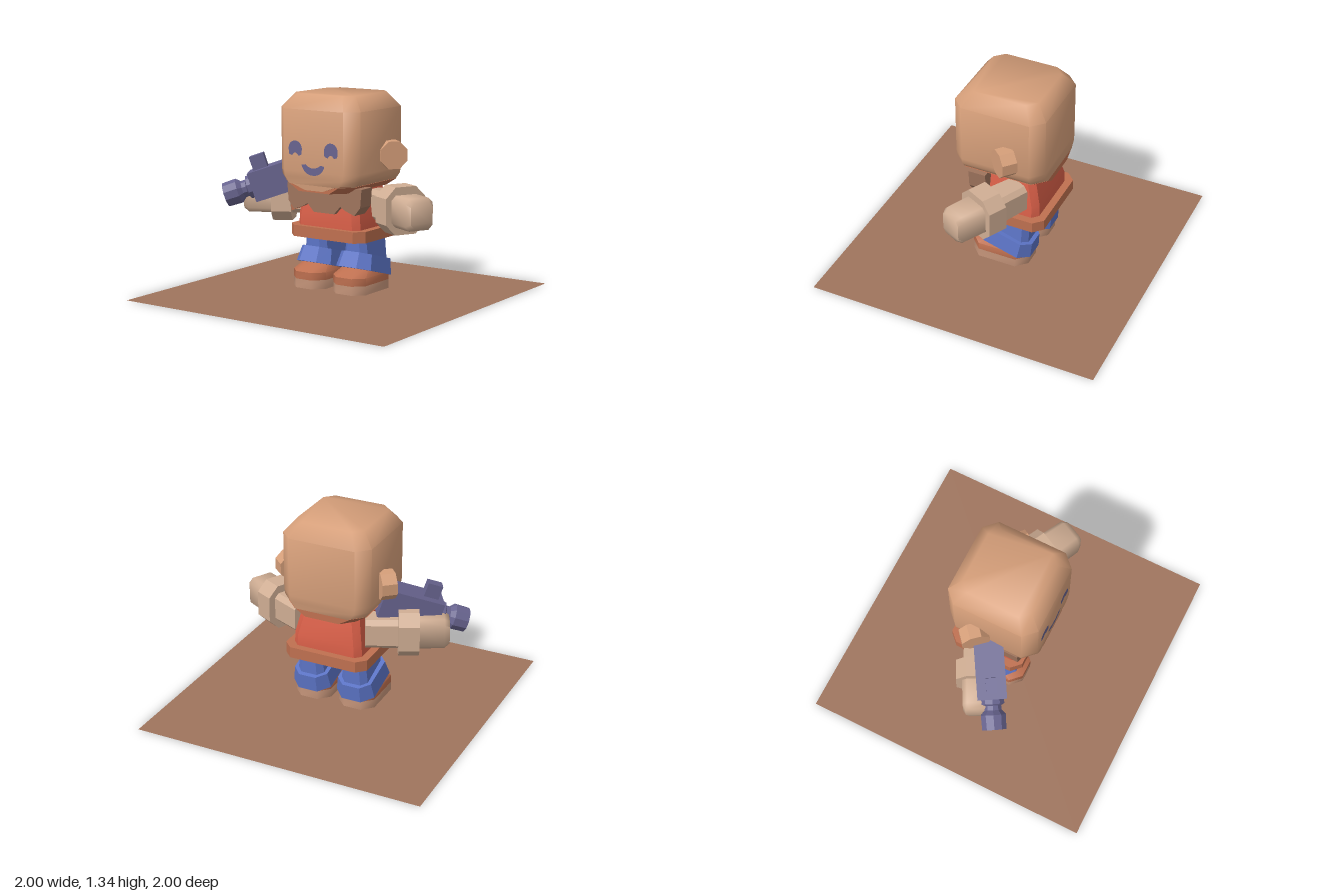
import * as THREE from 'three';
import { toCreasedNormals } from 'three/addons/utils/BufferGeometryUtils.js';

const mat = (name, color) => Object.assign(new THREE.MeshStandardMaterial({ color }), { name });

// Stack of chamfered rectangles: each row is [y, halfX, halfZ, chamfer, zOffset, xOffset]
function loft(rows, crease = 0.5) {
  const pos = [], idx = [];
  for (const [y, a, b, c, oz = 0, ox = 0] of rows) {
    const ring = [[a, b - c], [a - c, b], [c - a, b], [-a, b - c], [-a, c - b], [c - a, -b], [a - c, -b], [a, c - b]];
    for (const [x, z] of ring) pos.push(x + ox, y, z + oz);
  }
  const top = (rows.length - 1) * 8;
  for (let r = 0; r < top; r += 8) {
    for (let i = 0; i < 8; i++) {
      const a = r + i, b = r + (i + 1) % 8;
      idx.push(a, a + 8, b, b, a + 8, b + 8);
    }
  }
  for (let i = 1; i < 7; i++) {
    idx.push(0, i, i + 1);
    idx.push(top, top + i + 1, top + i);
  }
  const g = new THREE.BufferGeometry();
  g.setAttribute('position', new THREE.Float32BufferAttribute(pos, 3));
  g.setIndex(idx);
  return toCreasedNormals(g, crease);
}

export function createModel() {
  const root = new THREE.Group();
  const skin = mat('skin', 0xd69f7a);
  const brown = mat('brown', 0x9f745d);
  const orange = mat('orange leather', 0xbf7050);
  const red = mat('red shirt', 0xd95f48);
  const blue = mat('blue trousers', 0x5c74c6);
  const sole = mat('sole', 0xc6957a);
  const beige = mat('beige sleeve', 0xd0ae94);
  const purple = mat('purple metal', 0x68648f);

  const add = (name, geo, material, parent = root, x = 0, y = 0, z = 0) => {
    const m = new THREE.Mesh(geo, material);
    m.name = name;
    m.position.set(x, y, z);
    parent.add(m);
    return m;
  };
  const group = (name, x, y, z) => {
    const g = new THREE.Group();
    g.name = name;
    g.position.set(x, y, z);
    root.add(g);
    return g;
  };

  // Ground
  const groundMat = brown.clone();
  groundMat.name = 'ground brown';
  groundMat.side = THREE.DoubleSide;
  add('ground', new THREE.PlaneGeometry(2, 2).rotateX(-Math.PI / 2), groundMat);

  // Head with its lower rim
  add('head', loft([
    [0.755, 0.27, 0.315, 0.08], [0.8, 0.305, 0.315, 0.08], [0.84, 0.312, 0.315, 0.08],
    [1.24, 0.312, 0.315, 0.08], [1.335, 0.235, 0.24, 0.06],
  ], 1.0), skin, root, 0, 0, -0.005);
  add('chin', loft([[0.72, 0.12, 0.31, 0.05], [0.76, 0.26, 0.314, 0.08]]), skin, root, 0, 0, -0.004);
  add('headRim', loft([[0.71, 0.2, 0.312, 0.08], [0.76, 0.28, 0.312, 0.08]]), orange, root, 0, 0, -0.006);

  // Ears, turned half forward
  for (const s of [1, -1]) {
    const disc = new THREE.CylinderGeometry(0.097, 0.097, 0.1, 8).rotateY(Math.PI / 8).rotateX(Math.PI / 2);
    const ear = add(s > 0 ? 'leftEar' : 'rightEar', toCreasedNormals(disc, 0.5), skin, root, s * 0.343, 0.94, -0.086);
    ear.rotation.y = s * 0.85;
  }

  // Face
  const eye = new THREE.Shape();
  eye.moveTo(0.05, -0.035);
  eye.lineTo(0.053, 0.005);
  eye.absarc(0, 0, 0.053, 0, Math.PI, false);
  eye.lineTo(-0.05, -0.035);
  eye.lineTo(-0.025, -0.045);
  eye.quadraticCurveTo(0, -0.005, 0.025, -0.045);
  for (const s of [1, -1]) add(s > 0 ? 'leftEye' : 'rightEye', new THREE.ShapeGeometry(eye), purple, root, s * 0.14, 0.985, 0.314);
  const smile = new THREE.Shape();
  smile.moveTo(-0.09, 0.03);
  smile.quadraticCurveTo(-0.07, -0.035, 0, -0.035);
  smile.quadraticCurveTo(0.07, -0.035, 0.09, 0.03);
  smile.lineTo(0.06, 0.035);
  smile.quadraticCurveTo(0, -0.012, -0.06, 0.035);
  add('mouth', new THREE.ShapeGeometry(smile), purple, root, 0, 0.855, 0.314);

  // Torso, belt and ragged scarf
  add('torso', loft([
    [0.45, 0.245, 0.22, 0.04, -0.05], [0.54, 0.24, 0.22, 0.04, -0.05], [0.73, 0.2, 0.18, 0.04, -0.04],
  ]), red);
  add('belt', loft([[0.385, 0.295, 0.262, 0.06], [0.46, 0.295, 0.262, 0.06]]), orange, root, 0, 0, -0.057);
  const half = [[0.08, 0.56], [0.13, 0.613], [0.17, 0.59], [0.24, 0.565], [0.285, 0.62], [0.295, 0.74]];
  const outline = [...half, ...half.map(([x, y]) => [-x, y]).reverse()];
  const scarf = new THREE.Shape(outline.map(([x, y]) => new THREE.Vector2(x, y)));
  add('scarf', new THREE.ExtrudeGeometry(scarf, { depth: 0.12, bevelEnabled: false }), brown, root, 0, 0, 0.075);

  for (const s of [1, -1]) {
    // Leg: trouser, tilted cuff and shoe
    const leg = group(s > 0 ? 'leftLeg' : 'rightLeg', s * 0.16, 0, 0);
    add('trouser', loft([[0.18, 0.1, 0.145, 0.04, -0.055], [0.39, 0.078, 0.145, 0.035, -0.055]]), blue, leg);
    const cuff = add('trouserCuff', loft([[-0.053, 0.138, 0.195, 0.07], [0.053, 0.12, 0.174, 0.06]]), blue, leg, 0, 0.212, -0.045);
    cuff.rotation.x = -0.28;
    add('shoeSole', loft([[0.04, 0.13, 0.202, 0.07], [0.1, 0.13, 0.202, 0.07]], 0.9), sole, leg);
    add('shoe', loft([
      [0.1, 0.13, 0.202, 0.07], [0.15, 0.13, 0.202, 0.07], [0.21, 0.09, 0.14, 0.05, -0.05],
    ], 0.8), orange, leg);

    // Arm, reaching outward and slightly forward
    const arm = group(s > 0 ? 'leftArm' : 'rightArm', s * 0.465, 0.605, 0);
    arm.lookAt(s * (0.465 + 0.89), 0.605, 0.45);
    const part = (name, rows, crease) => add(name, loft(rows, crease).rotateX(Math.PI / 2), beige, arm);
    part('upperArm', [[-0.28, 0.09, 0.1, 0.03], [-0.05, 0.1, 0.103, 0.03]]);
    part('sleeveCuff', [[-0.067, 0.145, 0.155, 0.07], [0.067, 0.145, 0.155, 0.07]]);
    part('hand', [[0.05, 0.105, 0.103, 0.03], [0.23, 0.1, 0.103, 0.03], [0.265, 0.08, 0.08, 0.025]], 1.0);
  }

  // Blaster: local +z runs along the barrel
  const gun = group('blaster', -0.6, 0.68, 0.17);
  gun.lookAt(-0.6 - 0.81, 0.68 - 0.32, 0.17 + 0.49);
  add('blasterBody', new THREE.BoxGeometry(0.19, 0.2, 0.4), purple, gun, 0, 0, -0.2);
  add('blasterSight', new THREE.BoxGeometry(0.07, 0.11, 0.1), purple, gun, 0, 0.14, -0.09);
  add('blasterGrip', new THREE.BoxGeometry(0.11, 0.14, 0.12), orange, gun, 0, -0.16, -0.24);
  const barrel = [[0, 0.12], [0.045, 0.12], [0.05, 0.195], [0.082, 0.195], [0.085, 0.1], [0.058, 0.07],
    [0.058, 0.04], [0.08, 0.03], [0.08, -0.02], [0, -0.02]].reverse();
  const lathe = new THREE.LatheGeometry(barrel.map(([x, y]) => new THREE.Vector2(x, y)), 10);
  add('blasterBarrel', toCreasedNormals(lathe.rotateX(Math.PI / 2), 0.4), purple, gun);

  return root;
}
